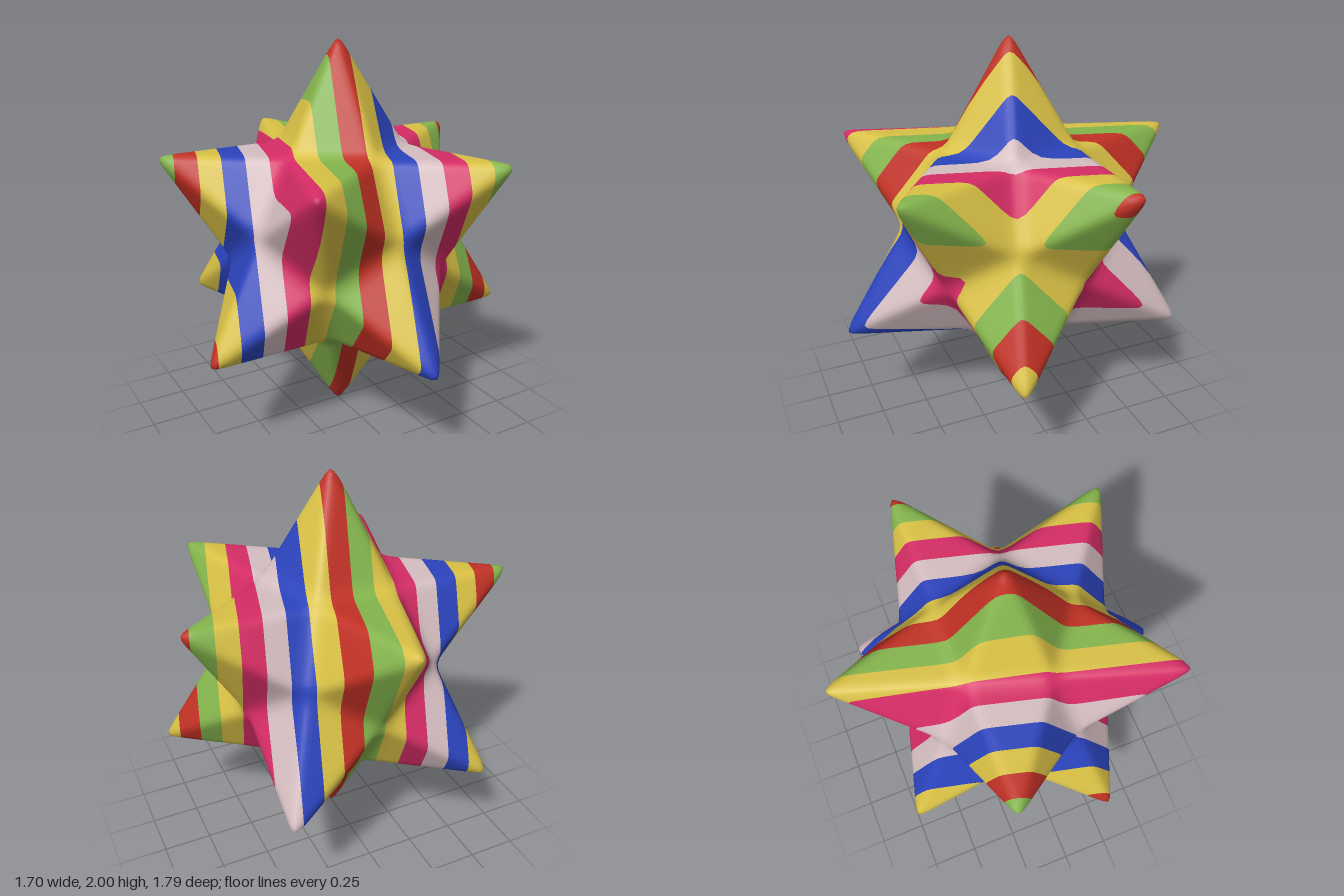
import * as THREE from 'three';

const material = (name, color) => new THREE.MeshStandardMaterial({ name, color });

// Stripe colours in the order they repeat along the stripe direction
const red = material('red', 0xc03024), yellow = material('yellow', 0xd8c045);
const blue = material('blue', 0x2b43bc), white = material('paleWhite', 0xd4bdc0);
const pink = material('pink', 0xd42c64), green = material('green', 0x84b44c);
const SEQUENCE = [red, yellow, blue, white, pink, yellow, green];
const STRIPE = 0.114, FIRST = -0.058, LEAN = 0.265;
const stripeAt = (p) => (p.x + LEAN * p.z - FIRST) / STRIPE;

// Twelve spike tips, in the directions of an icosahedron's corners
function spikeTips() {
  const tips = [new THREE.Vector3(0, 1, 0), new THREE.Vector3(0, -1, 0)];
  const h = 1 / Math.sqrt(5);
  for (let i = 0; i < 5; i++) {
    const a = (i * Math.PI * 2) / 5;
    const x = 2 * h * Math.sin(a), z = 2 * h * Math.cos(a);
    tips.push(new THREE.Vector3(x, -h, z), new THREE.Vector3(-x, h, -z));
  }
  return tips;
}

// Finely divided star of twelve five-sided spikes, with softened edges and tips
function softStar(n, passes) {
  const tips = spikeTips();
  const near = (a, b) => a !== b && a.dot(b) > 0.4;
  const valley = (a, b, c) => a.clone().add(b).add(c).setLength(0.563);
  const points = [], index = [], lookup = new Map();
  const add = (p) => {
    const key = [p.x, p.y, p.z].map((v) => Math.round(v * 1e4)).join();
    if (!lookup.has(key)) {
      lookup.set(key, points.length);
      points.push(p);
    }
    return lookup.get(key);
  };
  const addTriangle = (a, b, c) => {
    const grid = (i, j) => add(a.clone().multiplyScalar(n - i)
      .addScaledVector(b, i - j).addScaledVector(c, j).divideScalar(n));
    for (let i = 0; i < n; i++) {
      for (let j = 0; j <= i; j++) {
        index.push(grid(i, j), grid(i + 1, j), grid(i + 1, j + 1));
        if (j < i) index.push(grid(i, j), grid(i + 1, j + 1), grid(i, j + 1));
      }
    }
  };

  // One spike side for every ordered pair of neighbouring tips
  for (const a of tips) {
    for (const b of tips.filter((t) => near(a, t))) {
      const [c, d] = tips.filter((t) => near(a, t) && near(b, t));
      const p = valley(a, b, c), q = valley(a, b, d);
      const outward = p.clone().sub(a).cross(q.clone().sub(a)).dot(a) > 0;
      addTriangle(a, outward ? p : q, outward ? q : p);
    }
  }

  // Soften by moving each point halfway to the mean of its neighbours
  const links = points.map(() => new Set());
  for (let k = 0; k < index.length; k += 3) {
    for (let e = 0; e < 3; e++) {
      const u = index[k + e], v = index[k + ((e + 1) % 3)];
      links[u].add(v);
      links[v].add(u);
    }
  }
  for (let s = 0; s < passes; s++) {
    const means = links.map((set) => {
      const m = new THREE.Vector3();
      set.forEach((v) => m.add(points[v]));
      return m.divideScalar(set.size);
    });
    points.forEach((p, i) => p.lerp(means[i], 0.5));
  }
  const size = 1 / Math.max(...points.map((p) => p.y));
  points.forEach((p) => p.multiplyScalar(size));

  const geometry = new THREE.BufferGeometry().setFromPoints(points);
  geometry.setIndex(index);
  geometry.computeVertexNormals();
  return geometry;
}

// Keep the part of a polygon where sign * (stripe value - limit) is positive
function clip(polygon, limit, sign) {
  const result = [];
  polygon.forEach((a, i) => {
    const b = polygon[(i + 1) % polygon.length];
    const da = sign * (a.t - limit), db = sign * (b.t - limit);
    if (da >= 0) result.push(a);
    if (da * db < 0) {
      const f = da / (da - db);
      result.push({ p: a.p.clone().lerp(b.p, f), n: a.n.clone().lerp(b.n, f).normalize(), t: limit });
    }
  });
  return result;
}

// Slice the star into stripes, one geometry per stripe
function slice(star) {
  const stripes = new Map();
  const { position, normal } = star.attributes;
  const index = star.index.array;
  const corner = (i) => {
    const p = new THREE.Vector3().fromBufferAttribute(position, i);
    return { p, n: new THREE.Vector3().fromBufferAttribute(normal, i), t: stripeAt(p) };
  };
  for (let k = 0; k < index.length; k += 3) {
    const tri = [corner(index[k]), corner(index[k + 1]), corner(index[k + 2])];
    const ts = tri.map((c) => c.t);
    for (let s = Math.floor(Math.min(...ts)); s <= Math.floor(Math.max(...ts)); s++) {
      const poly = clip(clip(tri, s, 1), s + 1, -1);
      if (poly.length < 3) continue;
      if (!stripes.has(s)) stripes.set(s, { p: [], n: [] });
      const out = stripes.get(s);
      for (let i = 1; i < poly.length - 1; i++) {
        for (const c of [poly[0], poly[i], poly[i + 1]]) {
          out.p.push(...c.p.toArray());
          out.n.push(...c.n.toArray());
        }
      }
    }
  }
  return stripes;
}

export function createModel() {
  const group = new THREE.Group();
  group.name = 'stripedStar';
  for (const [s, data] of slice(softStar(16, 3))) {
    const geometry = new THREE.BufferGeometry();
    geometry.setAttribute('position', new THREE.Float32BufferAttribute(data.p, 3));
    geometry.setAttribute('normal', new THREE.Float32BufferAttribute(data.n, 3));
    const paint = SEQUENCE[((s % 7) + 7) % 7];
    const mesh = new THREE.Mesh(geometry, paint);
    mesh.name = `${paint.name}Stripe`;
    mesh.position.y = 1;
    group.add(mesh);
  }
  return group;
}
